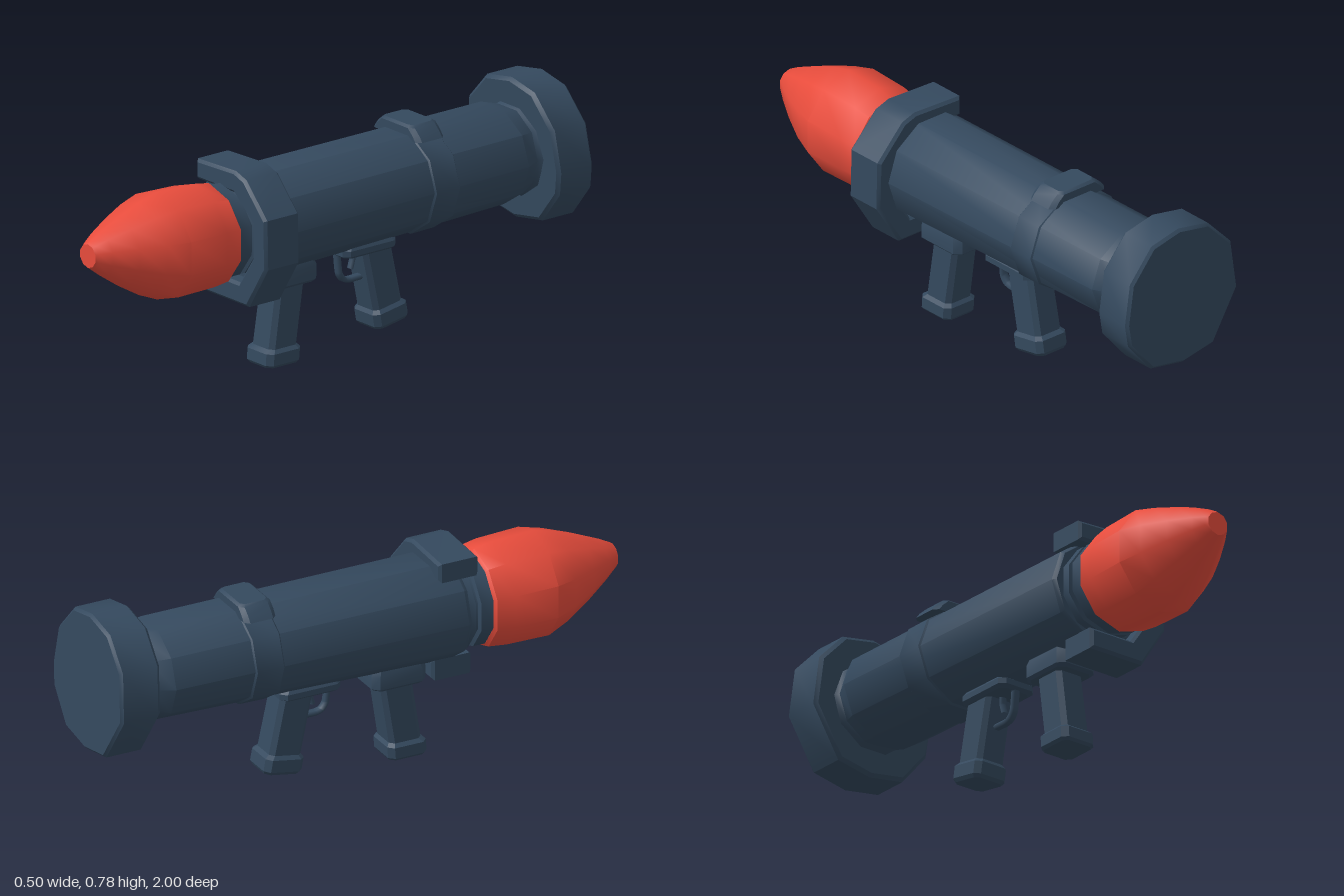
import * as THREE from 'three';
import { toCreasedNormals } from 'three/addons/utils/BufferGeometryUtils.js';

// Skin a list of equal-length rings and close both ends
function loft(rings, crease = 0.7) {
  const n = rings[0].length, pos = [];
  const tri = (a, b, c) => pos.push(...a, ...b, ...c);
  const mid = r => [0, 1, 2].map(k => r.reduce((s, p) => s + p[k], 0) / n);
  for (let i = 0; i < rings.length - 1; i++) {
    for (let j = 0; j < n; j++) {
      const k = (j + 1) % n, a = rings[i], b = rings[i + 1];
      tri(a[j], a[k], b[k]);
      tri(a[j], b[k], b[j]);
    }
  }
  const first = rings[0], last = rings[rings.length - 1];
  for (let j = 0; j < n; j++) {
    const k = (j + 1) % n;
    tri(mid(first), first[k], first[j]);
    tri(mid(last), last[j], last[k]);
  }
  const g = new THREE.BufferGeometry();
  g.setAttribute('position', new THREE.Float32BufferAttribute(pos, 3));
  return toCreasedNormals(g, crease);
}

// Ten-sided ring facing +z
function decagon(z, cy, rx, ry = rx, turn = 0) {
  return Array.from({ length: 10 }, (_, i) => {
    const a = i * Math.PI / 5 + Math.PI / 2 + turn;
    return [rx * Math.cos(a), cy + ry * Math.sin(a), z];
  });
}

// Horizontal chamfered rectangle, optionally sloping along z
function slab([y, zc, hx, hz], slope = 0) {
  const c = Math.min(hx, hz) * 0.28;
  return [[hx, hz - c], [hx, c - hz], [hx - c, -hz], [c - hx, -hz],
    [-hx, c - hz], [-hx, hz - c], [c - hx, hz], [hx - c, hz]]
    .map(([x, z]) => [x, y + slope * z, zc + z]);
}

export function createModel() {
  const navy = new THREE.MeshStandardMaterial({ color: 0x34495e });
  navy.name = 'navy';
  const red = new THREE.MeshStandardMaterial({ color: 0xe74c3c });
  red.name = 'red';
  const group = new THREE.Group();
  const add = (name, geometry, material = navy) => {
    const m = new THREE.Mesh(geometry, material);
    m.name = name;
    group.add(m);
    return m;
  };

  // Launch tube: flats on top, tapering at the rear
  const flat = Math.PI / 10;
  add('tube', loft([
    [-0.86, 0.53, 0.15, 0.15], [-0.84, 0.53, 0.17, 0.165], [-0.82, 0.53, 0.16, 0.155],
    [-0.755, 0.53, 0.195, 0.174], [0.355, 0.515, 0.195, 0.19], [0.37, 0.515, 0.185, 0.18],
  ].map(([z, cy, rx, ry]) => decagon(z, cy, rx, ry, flat))));

  // Stepped neck between tube and warhead
  add('neck', loft([[0.36, 0.165], [0.40, 0.165], [0.405, 0.15], [0.415, 0.15], [0.42, 0.165], [0.475, 0.165]]
    .map(([z, r]) => decagon(z, 0.513, r))));

  // Warhead, its tip drifting slightly upward
  add('warhead', loft([
    [0.465, 0.512, 0.165], [0.475, 0.512, 0.177], [0.54, 0.514, 0.186], [0.70, 0.516, 0.19],
    [0.78, 0.522, 0.163], [0.87, 0.531, 0.12], [0.95, 0.54, 0.075], [0.99, 0.544, 0.049], [1.0, 0.544, 0.042],
  ].map(([z, cy, r]) => decagon(z, cy, r))), red);

  // Rear flange, leaning slightly
  const rim = [[0, 0.78], [-0.13, 0.757], [-0.228, 0.655], [-0.248, 0.48], [-0.135, 0.307], [0, 0.282],
    [0.14, 0.305], [0.236, 0.42], [0.247, 0.5], [0.22, 0.645], [0.12, 0.755]];
  add('rearFlange', loft([[-0.99, 0.96], [-0.98, 1], [-0.85, 1], [-0.838, 0.95]].map(([z, s]) =>
    rim.map(([x, y]) => [x * s, 0.53 + (y - 0.53) * s, z + (y - 0.53) * 0.04]))));

  // Open clamp around the front of the tube
  const b = 0.01;
  const clamp = new THREE.Shape([[-0.12, 0.72], [0.07, 0.727], [0.12, 0.71], [0.226, 0.598], [0.23, 0.432],
    [0.136, 0.284], [-0.07, 0.284], [-0.07, 0.34], [0.1, 0.34], [0.175, 0.45], [0.175, 0.58],
    [0.07, 0.67], [-0.12, 0.67]].map(p => new THREE.Vector2(...p)));
  const clampGeo = new THREE.ExtrudeGeometry(clamp,
    { depth: 0.13, bevelThickness: b, bevelSize: b, bevelSegments: 1 });
  clampGeo.translate(0, 0, 0.285);
  add('frontClamp', toCreasedNormals(clampGeo, 0.5));

  // Rear strap with a raised block on top
  add('strap', loft([[-0.46, 0.19, 0.175], [-0.45, 0.201, 0.184], [-0.35, 0.201, 0.186], [-0.34, 0.19, 0.176]]
    .map(([z, rx, ry]) => decagon(z, 0.524, rx, ry, flat))));
  add('sightBlock', loft([[0.68, -0.4, 0.125, 0.06], [0.70, -0.4, 0.11, 0.06],
    [0.722, -0.4, 0.085, 0.06], [0.73, -0.4, 0.075, 0.05]].map(r => slab(r)), 0.5)).position.x = -0.01;

  // Grips with mounting plates and flared feet
  const stack = (name, rows, slope = 0) => add(name, loft(rows.map(r => slab(r, slope)), 0.5));
  stack('frontGripPlate', [[0.275, 0.158, 0.07, 0.09], [0.285, 0.158, 0.08, 0.102],
    [0.33, 0.158, 0.08, 0.102], [0.36, 0.158, 0.07, 0.09]]);
  stack('frontGrip', [[0, 0.196, 0.06, 0.066], [0.01, 0.196, 0.069, 0.073], [0.05, 0.193, 0.069, 0.073],
    [0.062, 0.19, 0.057, 0.06], [0.29, 0.155, 0.055, 0.06]]);
  stack('rearGripPlate', [[0.315, -0.175, 0.062, 0.1], [0.325, -0.175, 0.075, 0.115],
    [0.345, -0.175, 0.075, 0.115], [0.36, -0.175, 0.065, 0.1]]);
  stack('rearGrip', [[0.045, -0.278, 0.058, 0.064], [0.057, -0.276, 0.067, 0.072], [0.1, -0.268, 0.067, 0.072],
    [0.112, -0.264, 0.056, 0.06], [0.33, -0.217, 0.054, 0.06]], -0.17);

  // Trigger guard and trigger
  const tube = (name, pts, r) => {
    const curve = new THREE.CatmullRomCurve3(pts.map(([y, z]) => new THREE.Vector3(0, y, z)), false, 'catmullrom', 0.2);
    const m = add(name, new THREE.TubeGeometry(curve, 20, r, 6));
    m.scale.x = 1.6;
  };
  tube('triggerGuard', [[0.34, -0.078], [0.25, -0.088], [0.225, -0.105], [0.218, -0.13], [0.22, -0.2]], 0.011);
  tube('trigger', [[0.34, -0.145], [0.29, -0.148], [0.255, -0.138]], 0.009);

  return group;
}
